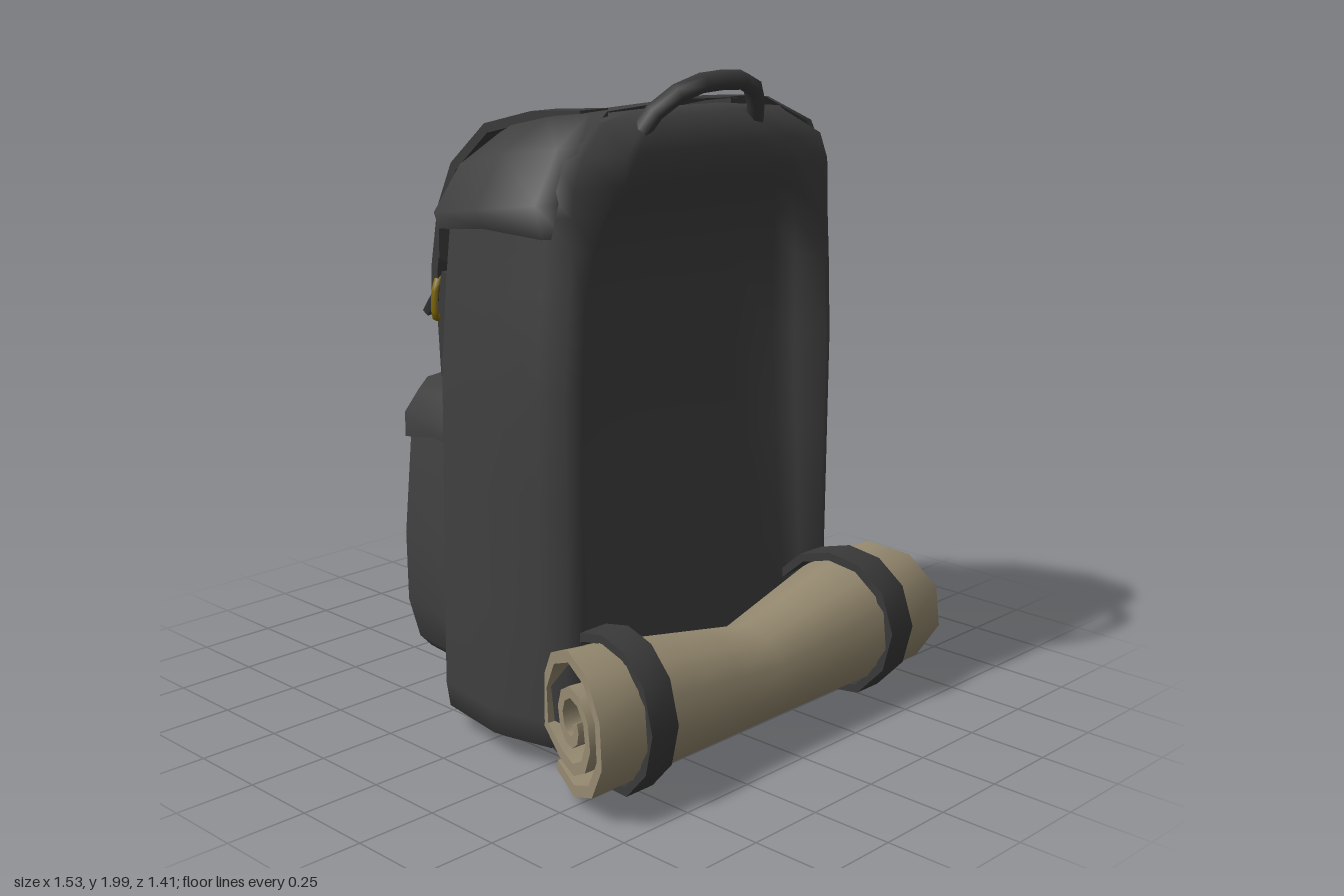
import * as THREE from 'three';
import { toCreasedNormals } from 'three/addons/utils/BufferGeometryUtils.js';

const material = (name, color) => {
  const m = new THREE.MeshStandardMaterial({ color, side: THREE.DoubleSide });
  m.name = name;
  return m;
};

export function createModel() {
  const model = new THREE.Group();
  model.name = 'backpack';
  const canvas = material('charcoal canvas', 0x404040);
  const leather = material('dark strap', 0x3a3a3a);
  const wool = material('tan blanket', 0x968a70);
  const brass = material('brass', 0x806800);

  const add = (name, geometry, mat, parent = model) => {
    const mesh = new THREE.Mesh(geometry, mat);
    mesh.name = name;
    parent.add(mesh);
    return mesh;
  };

  // Mirror half outlines [x, y, z] (front to back, +x side) and skin them upwards
  const loft = (halves, closed) => {
    const rings = halves.map(h => {
      const other = h.slice(closed ? 1 : 0, -1).reverse().map(([x, y, z]) => [-x, y, z]);
      return [...h, ...other];
    });
    const n = rings[0].length, index = [];
    for (let i = 0; i < rings.length - 1; i++) {
      for (let j = 0; j < (closed ? n : n - 1); j++) {
        const k = (j + 1) % n, a = i * n + j, b = i * n + k;
        index.push(a, b, a + n, b, b + n, a + n);
      }
    }
    const g = new THREE.BufferGeometry();
    g.setAttribute('position', new THREE.Float32BufferAttribute(rings.flat(2), 3));
    g.setIndex(index);
    g.computeVertexNormals();
    return g;
  };

  // Height on a ring that slopes down to the back and more gently up to the front
  const tilted = (y, t, z) => y + (z < 0.1 ? t : Math.min(t, 0.13)) * (z - 0.1);

  // A band of given width (along x) and thickness that follows a [z, y] path
  const band = (path, width, thick, steps = 1) => {
    const p = path.map(([z, y]) => new THREE.Vector2(-z, y));
    const side = s => p.map((q, i) => {
      const t = p[Math.min(i + 1, p.length - 1)].clone().sub(p[Math.max(i - 1, 0)]).normalize();
      return new THREE.Vector2(q.x - t.y * s, q.y + t.x * s);
    });
    const shape = new THREE.Shape([...side(thick / 2), ...side(-thick / 2).reverse()]);
    const g = new THREE.ExtrudeGeometry(shape, { depth: width, steps, bevelEnabled: false });
    return g.translate(0, 0, -width / 2).rotateY(Math.PI / 2);
  };

  // Move every vertex by a rule, then refresh the normals
  const bend = (g, rule) => {
    const p = g.attributes.position, v = new THREE.Vector3();
    for (let i = 0; i < p.count; i++) {
      rule(v.fromBufferAttribute(p, i));
      p.setXYZ(i, v.x, v.y, v.z);
    }
    return toCreasedNormals(g, 0.75);
  };

  // Main sack with the hollow back panel: y, tilt, width, depth, front z, recess, recess half width
  const sack = [
    [0.06, 0, 0, 0.93, 0.28, 0.01, 0.46],
    [0.06, 0, 0.9, 0.95, 0.28, 0.01, 0.46],
    [0.09, 0, 0.98, 1.02, 0.355, 0.04, 0.48],
    [0.17, 0, 1, 1.03, 0.37, 0.06, 0.49],
    [0.5, 0, 1, 1.01, 0.37, 0.1, 0.49],
    [0.85, 0, 1, 0.99, 0.37, 0.14, 0.49],
    [1.15, 0, 1, 0.97, 0.37, 0.165, 0.49],
    [1.4, 0, 0.975, 0.94, 0.37, 0.155, 0.49],
    [1.54, 0, 0.955, 0.92, 0.37, 0.12, 0.465],
    [1.63, 0, 0.95, 0.9, 0.37, 0.075, 0.42],
    [1.69, 0.05, 0.94, 0.88, 0.37, 0.02, 0.38],
    [1.75, 0.2, 0.88, 0.84, 0.368, 0, 0.36],
    [1.845, 0.2, 0.64, 0.68, 0.31, 0, 0.3],
    [1.87, 0.17, 0.3, 0.45, 0.25, 0, 0.25],
    [1.873, 0.15, 0, 0.4, 0.24, 0, 0.25],
  ].map(([y, t, sx, kb, f, d, w]) => [
    [0, f - d], [w * 0.55, f - d * 0.95], [w * 0.87, f - d * 0.8], [w * 0.98, f - d * 0.5], [w + 0.04, f],
    [0.575, f - 0.02], [0.61, Math.min(0.28, f - 0.03)], [0.65, 0.1], [0.61, -0.14], [0.47, -0.3],
    [0.3, -0.38], [0, -0.41],
  ].map(([x, z]) => {
    const zz = z < 0.1 ? 0.1 + (z - 0.1) * kb : z;
    return [x * sx, tilted(y, t, zz), zz];
  }));
  add('sack', loft(sack, true), canvas);

  // Lid draped over the sides and back: y, tilt, width, depth, front depth
  const lidEdge = [1.57, 1.57, 1.585, 1.555, 1.43, 1.37, 1.365];
  const lid = [
    [0, 0, 0.99, 1, 1],
    [1.64, 0.15, 1.03, 0.97, 1],
    [1.79, 0.25, 0.89, 0.9, 1],
    [1.875, 0.21, 0.62, 0.75, 0.8],
    [1.89, 0.16, 0, 0.46, 0.7],
  ].map(([y, t, sx, kb, kf], i) => [
    [0.54, 0.315], [0.605, 0.285], [0.65, 0.1], [0.61, -0.14], [0.47, -0.31], [0.3, -0.435], [0, -0.44],
  ].map(([x, z], j) => {
    const zz = 0.1 + (z - 0.1) * (z < 0.1 ? kb : kf);
    return [x * sx, i === 0 ? lidEdge[j] : tilted(y, t, zz), zz];
  }));
  add('lid', loft(lid, false), canvas);

  // Outer pocket and its flap: y, width, depth
  const pocketLine = [[0.57, -0.18], [0.525, -0.29], [0.505, -0.45], [0.37, -0.57], [0, -0.605]];
  const pocketRing = ([y, sx, k], ys) => pocketLine.map(([x, z], j) =>
    [x * sx, ys ? ys[j] : y, -0.2 + (z + 0.2) * k]);
  add('pocket', loft([
    [0.16, 0, 0.85], [0.16, 0.86, 0.92], [0.2, 0.93, 0.97], [0.33, 1, 1],
    [0.55, 1, 1.02], [0.87, 0.955, 0.98], [0.97, 0.9, 0.9],
  ].map(r => pocketRing(r)), false), canvas);
  add('pocketFlap', loft([
    pocketRing([0, 0.985, 1.02], [0.9, 0.89, 0.86, 0.81, 0.79]),
    ...[[0.94, 0.99, 1], [1.01, 0.92, 0.9], [1.04, 0.78, 0.72], [1.05, 0, 0.55]].map(r => pocketRing(r)),
  ], false), canvas);

  // Carrying handle
  const handle = new THREE.CatmullRomCurve3([
    [-0.25, 1.825, 0.305], [-0.205, 1.905, 0.345], [-0.12, 1.96, 0.388], [0, 1.972, 0.395],
    [0.12, 1.96, 0.388], [0.205, 1.905, 0.345], [0.25, 1.825, 0.305],
  ].map(p => new THREE.Vector3(...p)));
  add('handle', new THREE.TubeGeometry(handle, 8, 0.029, 6), leather);

  // Strap end folded through a D-shaped buckle
  const buckle = (name, x, y, z, turn) => {
    const g = new THREE.Group();
    g.name = name;
    g.position.set(x, y, z);
    g.rotation.y = turn;
    const frame = new THREE.CatmullRomCurve3([
      [-0.064, -0.065], [0.064, -0.065], [0.064, 0.02], [0.035, 0.07], [-0.035, 0.07], [-0.064, 0.02],
    ].map(([a, b]) => new THREE.Vector3(a, b, 0)), true, 'catmullrom', 0.2);
    add('buckleFrame', new THREE.TubeGeometry(frame, 24, 0.012, 5, true), brass, g);
    add('bucklePin', new THREE.BoxGeometry(0.014, 0.09, 0.014).translate(0, 0.025, -0.02), brass, g);
    const tip = band([[-0.005, 0.02], [-0.03, -0.02], [-0.07, -0.065]], 0.09, 0.024);
    add('strapTip', bend(tip, v => { if (v.z < -0.05) v.x *= 0.55; }), leather, g);
    model.add(g);
  };

  // Lid straps and the pieces they buckle onto
  for (const s of [1, -1]) {
    const side = s > 0 ? 'left' : 'right';
    const upper = band([[0.2, 1.882], [0, 1.868], [-0.2, 1.82], [-0.35, 1.695], [-0.415, 1.56],
      [-0.45, 1.37], [-0.452, 1.27]], 0.11, 0.03);
    add(side + 'LidStrap', toCreasedNormals(upper, 0.75), leather).position.x = s * 0.315;
    const lower = band([[-0.4, 1.36], [-0.425, 1.24], [-0.41, 1.0]], 0.1, 0.045);
    add(side + 'LowerStrap', lower, leather).position.x = s * 0.315;
    buckle(side + 'LidBuckle', s * 0.315, 1.285, -0.455, s * -0.25);
  }

  // Pocket strap, running down and under the pocket
  add('pocketStrap', band([[-0.54, 1.03], [-0.585, 0.98], [-0.61, 0.92], [-0.615, 0.79], [-0.62, 0.66]],
    0.1, 0.028), leather);
  add('pocketLowerStrap', band([[-0.605, 0.72], [-0.617, 0.5], [-0.61, 0.33], [-0.59, 0.18],
    [-0.56, 0.155], [-0.4, 0.155]], 0.085, 0.024), leather);
  buckle('pocketBuckle', 0, 0.65, -0.63, 0);
  add('rivet', new THREE.SphereGeometry(0.016, 8, 6).translate(0, 0.93, -0.62), brass);

  // Rolled blanket: an outer turn around a spiral, pinched in the middle with slanted ends
  const spiral = [];
  for (let i = 0; i <= 24; i++) {
    const a = -2.1 + i / 10 * Math.PI * 2, r = i < 10 ? 0.193 : 0.14 - 0.008 * (i - 10);
    spiral.push([0.475 + r * Math.cos(a), 0.247 + r * Math.sin(a)]);
  }
  const rollShape = v => {
    const pinch = Math.max(0, 1 - Math.abs(v.x) / 0.6);
    v.x *= (0.6 + 0.4 * (v.z - 0.27)) / 0.68;
    v.y = 0.25 - 0.03 * pinch + (v.y - 0.25) * (1 - 0.28 * pinch);
    v.z = 0.68 + (v.z - 0.68) * (1 - 0.28 * pinch);
  };
  add('blanketRoll', bend(band(spiral, 1.36, 0.034, 8), rollShape), wool);
  const core = new THREE.CylinderGeometry(0.17, 0.17, 1.15, 10, 8).rotateZ(Math.PI / 2).translate(0, 0.247, 0.475);
  add('blanketCore', bend(core, rollShape), wool);

  // Straps holding the blanket
  for (const s of [1, -1]) {
    const strap = band([[0.2, 0.06], [0.38, 0.025], [0.58, 0.04], [0.66, 0.13], [0.688, 0.25], [0.65, 0.37],
      [0.57, 0.44], [0.47, 0.46], [0.37, 0.435], [0.29, 0.36], [0.275, 0.2], [0.32, 0.09]], 0.105, 0.026);
    add((s > 0 ? 'left' : 'right') + 'BlanketStrap',
      bend(strap, v => { v.x += s * (0.505 + (v.z - 0.48) * 0.15); }), leather);
  }
  return model;
}
